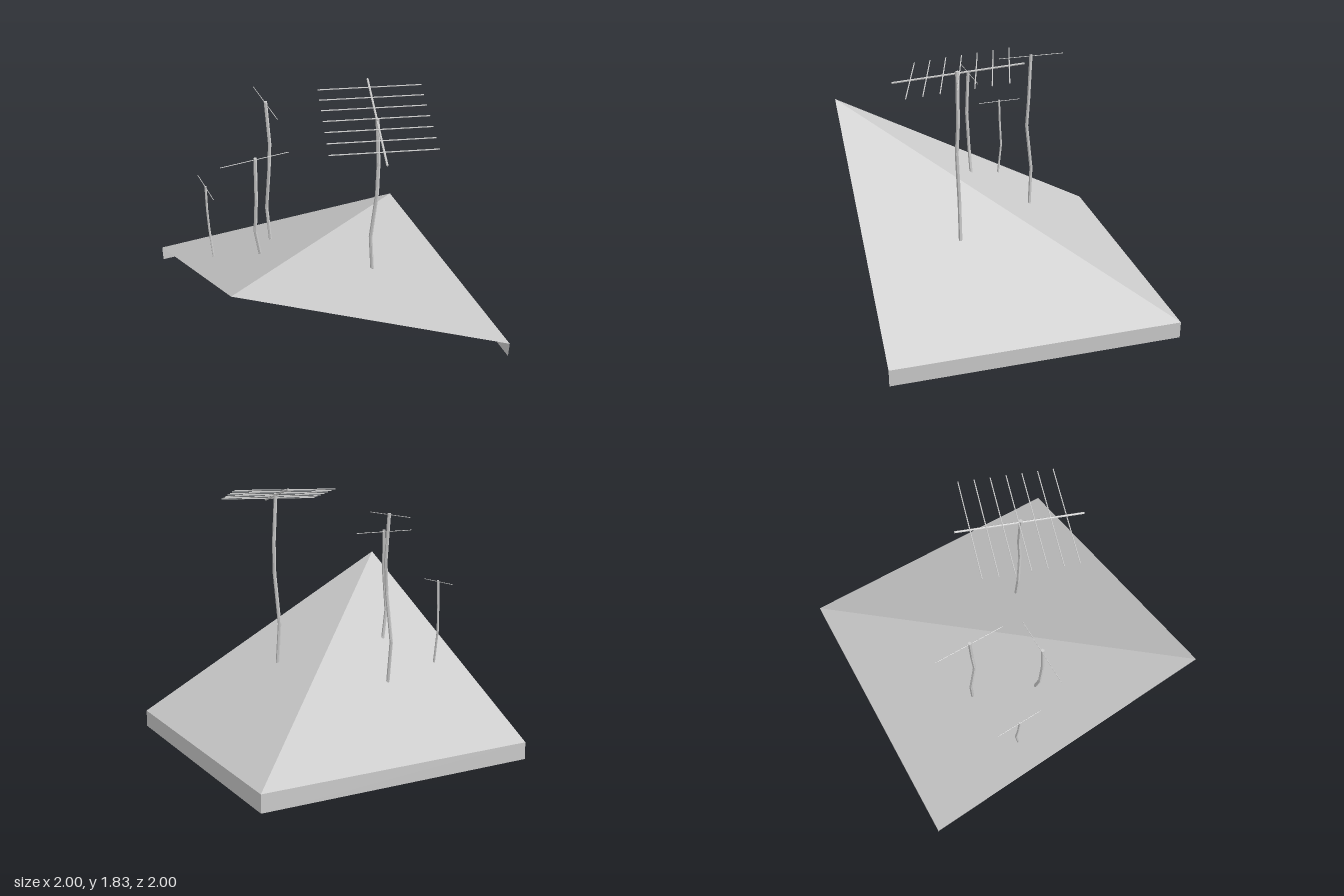
import * as THREE from 'three';

const material = new THREE.MeshStandardMaterial({ color: 0xcccccc, flatShading: true, side: THREE.DoubleSide });
const v = (p) => new THREE.Vector3(...p);

function addMesh(parent, name, geometry) {
  const mesh = new THREE.Mesh(geometry, material);
  mesh.name = name;
  parent.add(mesh);
  return mesh;
}

// Flat convex panel, corners counter-clockwise seen from outside
function panel(parent, name, corners) {
  const positions = [];
  for (let i = 1; i < corners.length - 1; i++) positions.push(...corners[0], ...corners[i], ...corners[i + 1]);
  const geometry = new THREE.BufferGeometry();
  geometry.setAttribute('position', new THREE.Float32BufferAttribute(positions, 3));
  geometry.computeVertexNormals();
  addMesh(parent, name, geometry);
}

// Straight thin rod between two points
function rod(parent, name, from, to, radius) {
  const a = v(from), b = v(to);
  const mesh = addMesh(parent, name, new THREE.CylinderGeometry(radius, radius, a.distanceTo(b), 6));
  mesh.position.copy(a).add(b).multiplyScalar(0.5);
  mesh.quaternion.setFromUnitVectors(new THREE.Vector3(0, 1, 0), b.sub(a).normalize());
}

// Crooked pole: each ring of a cylinder moves to its own node, listed bottom to top
function crookedPole(parent, name, nodes, radius) {
  const rows = nodes.length - 1;
  const geometry = new THREE.CylinderGeometry(radius, radius, 1, 6, rows);
  const pos = geometry.attributes.position;
  for (let i = 0; i < pos.count; i++) {
    const [x, y, z] = nodes[Math.round((pos.getY(i) + 0.5) * rows)];
    pos.setXYZ(i, pos.getX(i) + x, y, pos.getZ(i) + z);
  }
  geometry.computeVertexNormals();
  addMesh(parent, name, geometry);
}

export function createModel() {
  const model = new THREE.Group();
  model.name = 'roofWithAntennas';

  // Roof: two slopes meeting on a descending diagonal ridge, open underneath
  const eave = 0.12, peak = 1.21;
  const roof = new THREE.Group();
  roof.name = 'roof';
  model.add(roof);
  const apex = [-1, peak, 1], low = [1, eave, -1];
  panel(roof, 'frontSlope', [apex, [1, eave, 1], low]);
  panel(roof, 'backSlope', [apex, low, [-1, eave, -1]]);
  panel(roof, 'leftFascia', [[1, 0, 1], [1, 0, -1], low, [1, eave, 1]]);
  panel(roof, 'backFascia', [[1, 0, -1], [-1, 0, -1], [-1, eave, -1], low]);

  // Simple antennas: a crooked pole with one thin crossbar near its top
  const simple = [
    {
      name: 'tallAntenna', radius: 0.012,
      nodes: [[-0.31, 0.47, -0.33], [-0.325, 0.77, -0.345], [-0.31, 1.12, -0.302], [-0.295, 1.33, -0.31], [-0.308, 1.66, -0.327]],
      bar: [[-0.313, 1.65, -0.57], [-0.307, 1.65, -0.09]],
    },
    {
      name: 'middleAntenna', radius: 0.012,
      nodes: [[-0.525, 0.31, 0.07], [-0.508, 0.62, 0.066], [-0.55, 0.91, 0.076], [-0.537, 1.18, 0.092], [-0.527, 1.5, 0.08]],
      bar: [[-0.765, 1.485, 0.081], [-0.29, 1.485, 0.068]],
    },
    {
      name: 'shortAntenna', radius: 0.008,
      nodes: [[-0.789, 0.32, -0.235], [-0.782, 0.54, -0.217], [-0.79, 0.78, -0.245], [-0.796, 0.95, -0.237], [-0.795, 1.15, -0.23]],
      bar: [[-0.802, 1.14, -0.395], [-0.787, 1.14, -0.07]],
    },
  ];
  for (const { name, radius, nodes, bar } of simple) {
    const antenna = new THREE.Group();
    antenna.name = name;
    model.add(antenna);
    crookedPole(antenna, 'pole', nodes, radius);
    rod(antenna, 'crossbar', ...bar, 0.0025);
  }

  // Large antenna: pole, tilted boom and seven level crossbars
  const large = new THREE.Group();
  large.name = 'largeAntenna';
  model.add(large);
  crookedPole(large, 'pole',
    [[0.222, 0.5, 0.335], [0.2, 0.83, 0.334], [0.228, 1.2, 0.353], [0.236, 1.42, 0.342], [0.22, 1.775, 0.338]], 0.013);
  rod(large, 'boom', [0.103, 1.695, 0.745], [0.334, 1.828, -0.08], 0.007);
  for (let i = 0; i < 7; i++) {
    const t = i / 6;
    const x = THREE.MathUtils.lerp(0.307, 0.135, t);
    const y = THREE.MathUtils.lerp(1.818, 1.715, t);
    const z = THREE.MathUtils.lerp(0.015, 0.63, t);
    rod(large, 'crossbar', [x - 0.333, y, z - 0.095], [x + 0.333, y, z + 0.095], 0.004);
  }
  return model;
}
